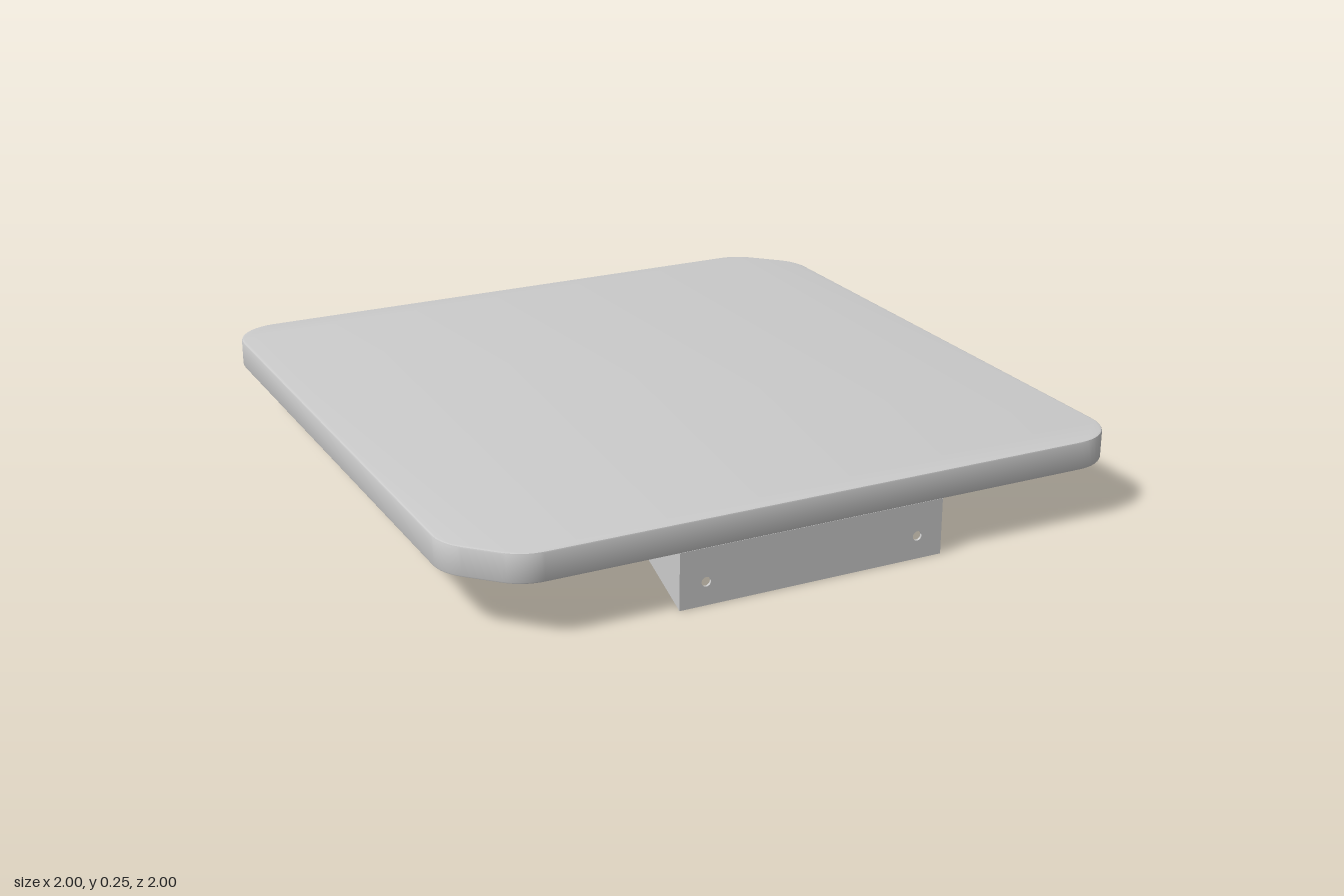
import * as THREE from 'three';
import { toCreasedNormals } from 'three/addons/utils/BufferGeometryUtils.js';

const material = new THREE.MeshStandardMaterial({ color: 0xcccccc });

const SLAB_BOTTOM = 0.165, SLAB_TOP = 0.25;
const REACH = 0.997;   // outer face of a bracket
const INNER = 0.68;    // inner edge of a bracket
const HALF = 0.403;    // half width of a bracket
const SHEET = 0.007;   // sheet metal thickness

function mesh(name, geometry) {
  const m = new THREE.Mesh(geometry, material);
  m.name = name;
  return m;
}

// Polygon with every corner rounded by radius r
function roundedPolygon(corners, r) {
  const pts = corners.map(([x, y]) => new THREE.Vector2(x, y));
  const shape = new THREE.Shape();
  pts.forEach((p, i) => {
    const a = pts[(i + pts.length - 1) % pts.length].clone().sub(p).normalize();
    const b = pts[(i + 1) % pts.length].clone().sub(p).normalize();
    const turn = Math.PI - Math.acos(a.dot(b));
    const t = r * Math.tan(turn / 2);
    const h = t - (4 / 3) * Math.tan(turn / 4) * r;
    const at = (dir, d) => p.clone().addScaledVector(dir, d);
    const start = at(a, t), c1 = at(a, h), c2 = at(b, h), end = at(b, t);
    if (i === 0) shape.moveTo(start.x, start.y);
    else shape.lineTo(start.x, start.y);
    shape.bezierCurveTo(c1.x, c1.y, c2.x, c2.y, end.x, end.y);
  });
  shape.closePath();
  return shape;
}

function polygon(corners) {
  return new THREE.Shape(corners.map(([x, y]) => new THREE.Vector2(x, y)));
}

function addHole(shape, x, y, r) {
  const hole = new THREE.Path();
  hole.absarc(x, y, r, 0, Math.PI * 2, true);
  shape.holes.push(hole);
}

function sheet(shape) {
  const g = new THREE.ExtrudeGeometry(shape, { depth: SHEET, bevelEnabled: false, curveSegments: 12 });
  return toCreasedNormals(g, 0.6);
}

// Square top with two rounded and two clipped corners
function createSlab() {
  const c = 0.84, bevel = 0.005;
  const outline = roundedPolygon([[-1, -1], [c, -1], [1, -c], [1, 1], [-c, 1], [-1, c]], 0.14);
  const g = new THREE.ExtrudeGeometry(outline, {
    depth: SLAB_TOP - SLAB_BOTTOM - 2 * bevel, curveSegments: 10,
    bevelThickness: bevel, bevelSize: bevel, bevelOffset: -bevel, bevelSegments: 2,
  });
  g.rotateX(Math.PI / 2);
  g.translate(0, SLAB_TOP - bevel, 0);
  return mesh('slab', toCreasedNormals(g, 0.6));
}

// Folded sheet bracket: upright plate, mounting plate and two tapered cheeks
function createBracket(name) {
  const bracket = new THREE.Group();
  bracket.name = name;

  const front = polygon([[-HALF, 0], [HALF, 0], [HALF, SLAB_BOTTOM - 0.006],
    [HALF - 0.006, SLAB_BOTTOM], [-HALF + 0.006, SLAB_BOTTOM], [-HALF, SLAB_BOTTOM - 0.006]]);
  for (const s of [-1, 1]) addHole(front, s * 0.325, 0.068, 0.014);
  const frontPlate = mesh('uprightPlate', sheet(front));
  frontPlate.position.z = REACH - SHEET;
  bracket.add(frontPlate);

  const top = polygon([[-HALF, INNER], [HALF, INNER], [HALF, REACH], [-HALF, REACH]]);
  for (const [x, z] of [[-0.24, 0.9], [0.24, 0.9], [0, 0.72]]) addHole(top, x, z, 0.01);
  const topPlate = mesh('mountingPlate', sheet(top).rotateX(Math.PI / 2));
  topPlate.position.y = SLAB_BOTTOM;
  bracket.add(topPlate);

  // Side profile drawn in (-z, y), turned to stand along z
  const cheek = polygon([[-REACH, 0], [-INNER, 0.125], [-INNER, SLAB_BOTTOM], [-REACH, SLAB_BOTTOM]]);
  const cheekGeometry = sheet(cheek).rotateY(Math.PI / 2);
  for (const [label, x] of [['leftCheek', HALF - SHEET], ['rightCheek', -HALF]]) {
    const m = mesh(label, cheekGeometry);
    m.position.x = x;
    bracket.add(m);
  }
  return bracket;
}

export function createModel() {
  const model = new THREE.Group();
  model.name = 'cornerShelf';
  const sideBracket = createBracket('sideBracket');
  sideBracket.rotation.y = Math.PI / 2;
  model.add(createSlab(), createBracket('frontBracket'), sideBracket);
  return model;
}
